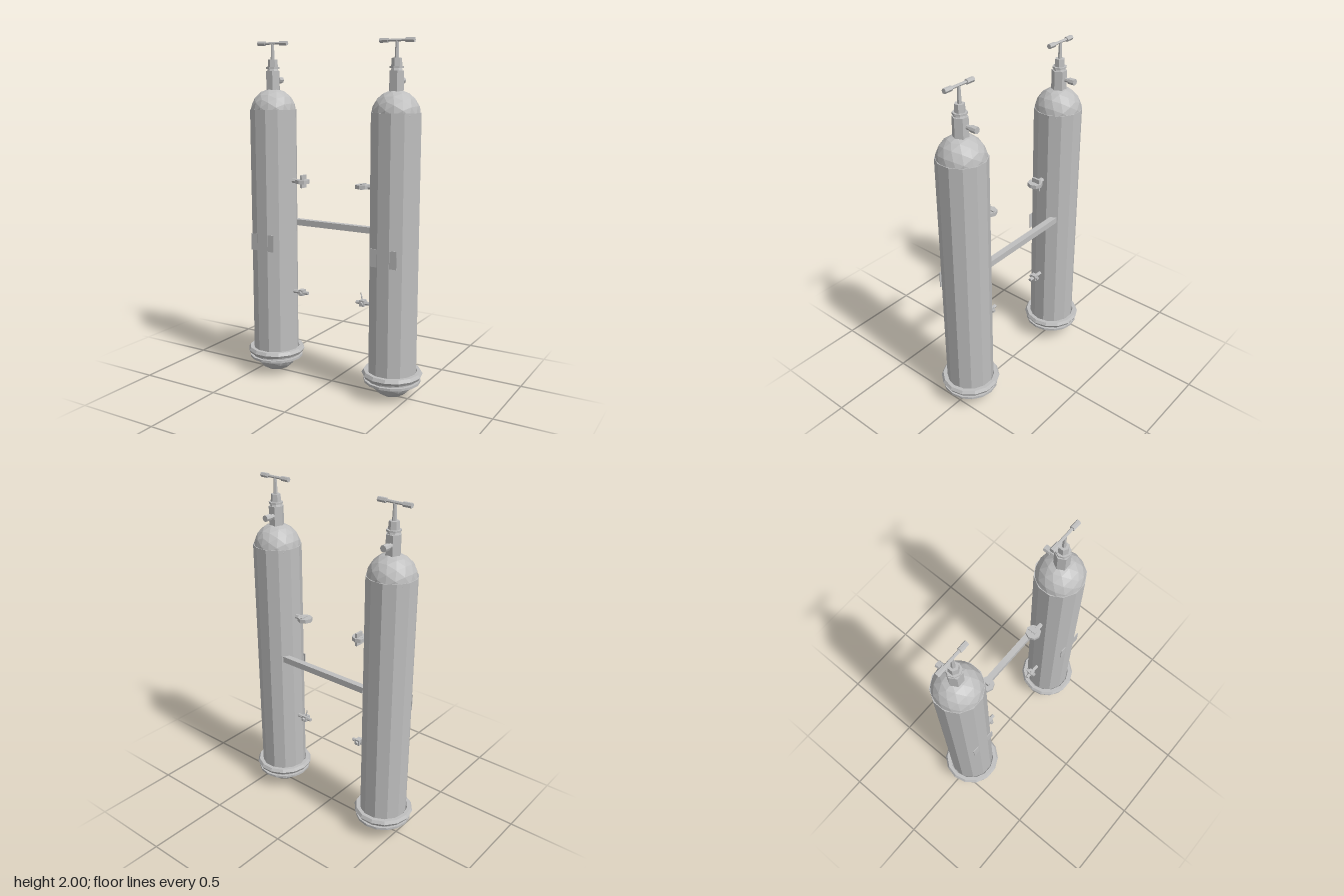
import * as THREE from 'three';

const steel = new THREE.MeshStandardMaterial({ color: 0xbfbfbf, flatShading: true });
steel.name = 'grey steel';

function add(parent, name, geometry, x = 0, y = 0, z = 0) {
  const mesh = new THREE.Mesh(geometry, steel);
  mesh.name = name;
  mesh.position.set(x, y, z);
  parent.add(mesh);
  return mesh;
}

const box = (w, h, d) => new THREE.BoxGeometry(w, h, d);
const rod = (top, bottom, length, sides) => new THREE.CylinderGeometry(top, bottom, length, sides);
const rodX = (r, length, sides) => rod(r, r, length, sides).rotateZ(Math.PI / 2);
const rodZ = (r, length, sides) => rod(r, r, length, sides).rotateX(Math.PI / 2);

// Cylinder body, rounded ends, foot rings and label plate
function addTank(parent) {
  add(parent, 'tankBody', rod(0.138, 0.138, 1.47, 12).rotateY(Math.PI / 12), 0, 0.875);
  add(parent, 'topDome', new THREE.IcosahedronGeometry(0.134, 2), 0, 1.597);
  add(parent, 'bottomDome', new THREE.IcosahedronGeometry(0.136, 2), 0, 0.136);
  add(parent, 'footRing', new THREE.TorusGeometry(0.153, 0.021, 6, 14).rotateX(Math.PI / 2), 0, 0.14);
  add(parent, 'footCollar', rod(0.148, 0.148, 0.03, 14), 0, 0.117);
  add(parent, 'footFlange', rod(0.163, 0.163, 0.014, 16), 0, 0.101);
  add(parent, 'labelPlate', box(0.16, 0.1, 0.004), 0, 0.83, 0.13);
}

// Top valve with rear outlet and T handle
function addMainValve(parent) {
  const valve = new THREE.Group();
  valve.name = 'mainValve';
  parent.add(valve);
  add(valve, 'valveBody', rod(0.043, 0.043, 0.11, 6).rotateY(Math.PI / 6), 0, 1.775);
  add(valve, 'valveCollar', rod(0.03, 0.034, 0.012, 8), 0, 1.836);
  add(valve, 'packingRing', rod(0.04, 0.04, 0.01, 8), 0, 1.847);
  add(valve, 'packingNut', rod(0.027, 0.03, 0.045, 6), 0, 1.873);
  add(valve, 'valveStem', rod(0.008, 0.012, 0.1, 6), 0, 1.94);
  add(valve, 'handleBar', rodX(0.008, 0.17, 6), 0, 1.987);
  for (const side of [-1, 1]) add(valve, 'handleGrip', rodX(0.014, 0.05, 6), side * 0.076, 1.987);
  add(valve, 'outletPipe', rodZ(0.013, 0.07, 8), -0.01, 1.778, -0.055);
  add(valve, 'outletNozzle', rodZ(0.019, 0.038, 8), -0.01, 1.778, -0.082);
}

// Small valves on the inner side; dir points towards the middle
function addSideValves(parent, dir) {
  const upper = new THREE.Group();
  upper.name = 'upperSideValve';
  upper.position.y = 1.195;
  parent.add(upper);
  add(upper, 'valvePipe', rodX(0.014, 0.09, 6), dir * 0.165);
  add(upper, 'handwheel', rod(0.043, 0.043, 0.022, 8), dir * 0.2);
  const key = dir > 0 ? box(0.013, 0.075, 0.05) : box(0.013, 0.034, 0.05);
  add(upper, 'wheelKey', key, dir * 0.2, 0, -0.008);

  const lower = new THREE.Group();
  lower.name = 'lowerSideValve';
  lower.position.y = 0.522;
  parent.add(lower);
  add(lower, 'valvePipe', rodX(0.011, 0.11, 6), dir * 0.18);
  add(lower, 'valveBlock', box(0.03, 0.036, 0.036), dir * 0.192);
  add(lower, 'valveTap', rodZ(0.011, 0.06, 6), dir * 0.192);
  if (dir < 0) add(lower, 'tapLever', rod(0.003, 0.006, 0.05, 4), -0.2, 0.035).rotation.z = 0.2;
}

export function createModel() {
  const model = new THREE.Group();
  model.name = 'twinGasCylinders';
  for (const side of [-1, 1]) {
    const cylinder = new THREE.Group();
    cylinder.name = side > 0 ? 'leftCylinder' : 'rightCylinder';
    cylinder.position.x = side * 0.4;
    addTank(cylinder);
    addMainValve(cylinder);
    addSideValves(cylinder, -side);
    model.add(cylinder);
  }
  // Bar joining the two cylinders behind the centre line
  add(model, 'connectingBar', box(0.594, 0.036, 0.036), 0, 0.936, -0.073);
  return model;
}
